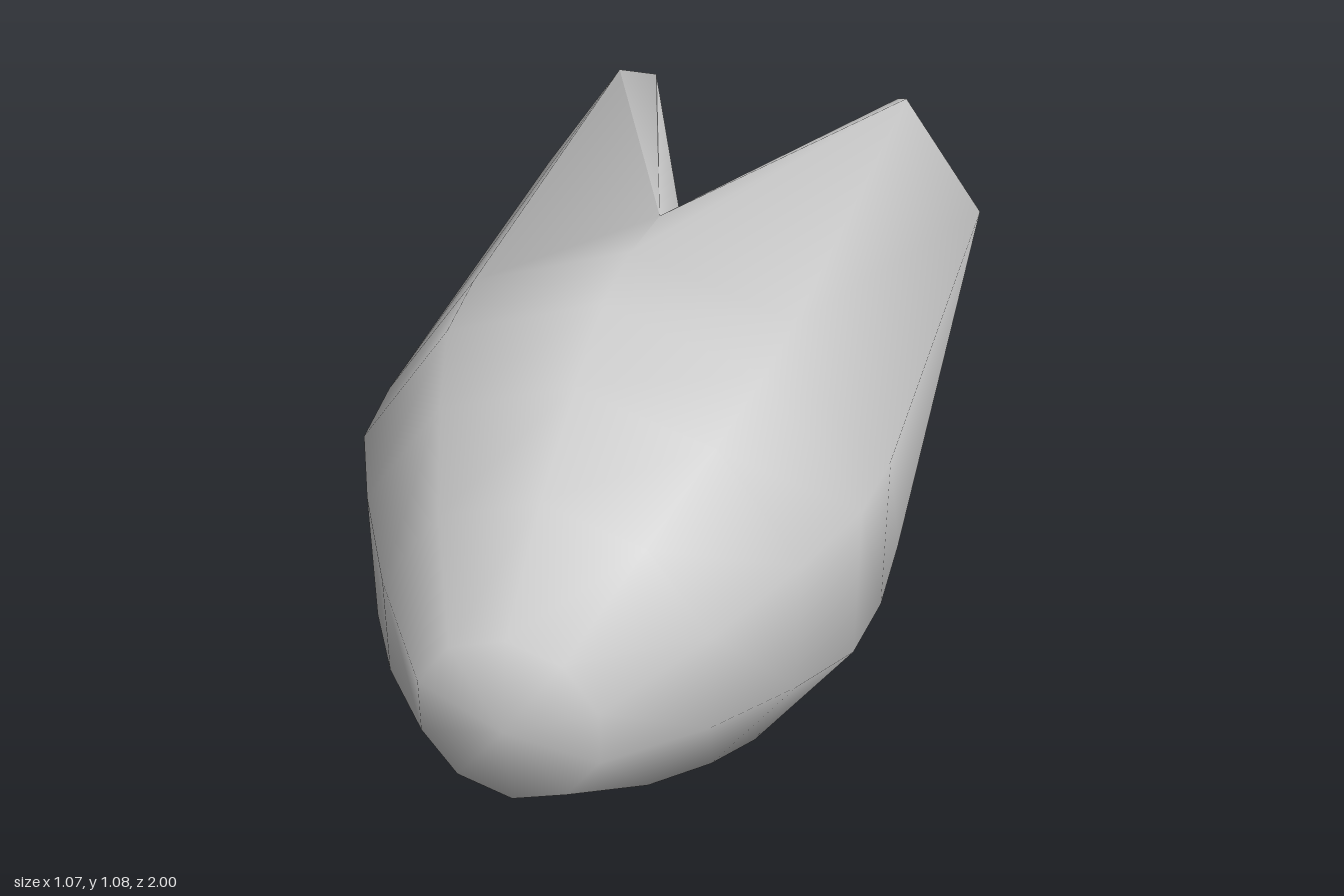
import * as THREE from 'three';
import { toCreasedNormals } from 'three/addons/utils/BufferGeometryUtils.js';

const CY = 0.534; // height of the long axis
const V = (x, y, z) => new THREE.Vector3(x, y, z);
const polar = (deg, r, z) => {
  const a = THREE.MathUtils.degToRad(deg);
  return V(Math.cos(a) * r, Math.max(0.004, CY + Math.sin(a) * r), z);
};

// Builds a mesh from polygons on the +x half and their mirror images
function mirroredMesh(name, polygons, material, crease) {
  const pos = [];
  const add = (p) => {
    for (let i = 1; i < p.length - 1; i++) {
      for (const v of [p[0], p[i], p[i + 1]]) pos.push(v.x, v.y, v.z);
    }
  };
  for (const p of polygons) {
    add(p);
    add(p.map((v) => V(-v.x, v.y, v.z)).reverse());
  }
  const geo = new THREE.BufferGeometry();
  geo.setAttribute('position', new THREE.Float32BufferAttribute(pos, 3));
  const mesh = new THREE.Mesh(toCreasedNormals(geo, crease), material);
  mesh.name = name;
  return mesh;
}

// Quads between neighbouring rows of points
function strips(rows) {
  const quads = [];
  for (let i = 0; i < rows.length - 1; i++) {
    for (let j = 0; j < rows[i].length - 1; j++) {
      quads.push([rows[i][j], rows[i][j + 1], rows[i + 1][j + 1], rows[i + 1][j]]);
    }
  }
  return quads;
}

export function createModel() {
  const group = new THREE.Group();
  group.name = 'pod';
  const material = new THREE.MeshStandardMaterial({ color: 0xcccccc, side: THREE.DoubleSide });

  // Ten-sided rounded nose: half rings running from top to bottom
  const angles = [90, 54, 18, -18, -54, -90];
  const profile = [[0.97, 0.172], [0.77, 0.325], [0.57, 0.443], [0.4, 0.524], [0.22, 0.546]];
  const rings = profile.map(([z, r]) => angles.map((a) => polar(a, r, z)));
  const nose = V(0, CY, 1);
  const shell = strips(rings);
  for (let j = 0; j < 5; j++) shell.push([nose, rings[0][j + 1], rings[0][j]]);
  const L = rings[rings.length - 1];

  // Outer and inner points of the notches between the prongs
  const topNotch = V(0, 1.066, 0.02), topInner = V(0, 0.84, -0.21);
  const sideNotch = V(0.518, 0.376, 0.02), sideInner = V(0.285, 0.448, -0.2);
  const floorRim = V(0.445, 0.396, -0.1);

  // Upper prong corners: shoulder, then chamfered tip
  const shoulderHigh = V(0.345, 1.025, -0.84), shoulderLow = V(0.535, 0.76, -0.85);
  const tipHigh = V(0.3, 0.96, -1), tipLow = V(0.46, 0.74, -1);

  // Lower prong corners
  const flank = V(0.27, 0.115, -0.42), keel = V(0, 0.003, -0.65);
  const lowTip = V(0.105, 0.13, -0.82), lowTipKeel = V(0, 0.03, -0.82);

  shell.push(
    [L[0], L[1], shoulderHigh, topNotch],
    [topNotch, shoulderHigh, tipHigh],
    [L[1], L[2], shoulderLow, shoulderHigh],
    [shoulderHigh, shoulderLow, tipLow, tipHigh],
    [L[2], L[3], sideNotch, shoulderLow],
    [shoulderLow, sideNotch, tipLow],
    [L[3], L[4], flank, sideNotch],
    [sideNotch, flank, lowTip],
    [L[4], L[5], keel, flank],
    [flank, keel, lowTipKeel, lowTip],
  );

  // Lips rolling inward: wide on the upper prongs, narrow on the lower one
  shell.push(
    [topNotch, tipHigh, topInner],
    [sideNotch, floorRim, sideInner, tipLow],
    [sideNotch, lowTip, floorRim],
  );

  // Flat inner faces of the upper prongs
  const upperInner = [[topInner, tipHigh, tipLow, sideInner]];

  // Hollow lower prong: a shallow trough running forward under the dome
  const trough = strips([
    [V(0, 0.1, 0.13), V(0.28, 0.17, 0.13), V(0.43, 0.4, 0.13)],
    [V(0, 0.1, -0.1), V(0.28, 0.17, -0.1), floorRim],
    [lowTipKeel, V(0.052, 0.08, -0.82), lowTip],
  ]);
  trough.push([sideInner, floorRim, V(0.43, 0.4, 0.13)]);

  group.add(
    mirroredMesh('outerShell', shell, material, 1.4),
    mirroredMesh('upperProngInnerFaces', upperInner, material, 0.3),
    mirroredMesh('lowerProngTrough', trough, material, 1),
  );

  // Domed core seen between the prongs
  const dome = new THREE.Mesh(
    new THREE.SphereGeometry(0.45, 20, 9, 0, Math.PI * 2, 0, Math.PI / 2), material);
  dome.name = 'rearDome';
  dome.rotation.x = -Math.PI / 2;
  dome.position.set(0, 0.541, 0.13);
  group.add(dome);

  return group;
}
